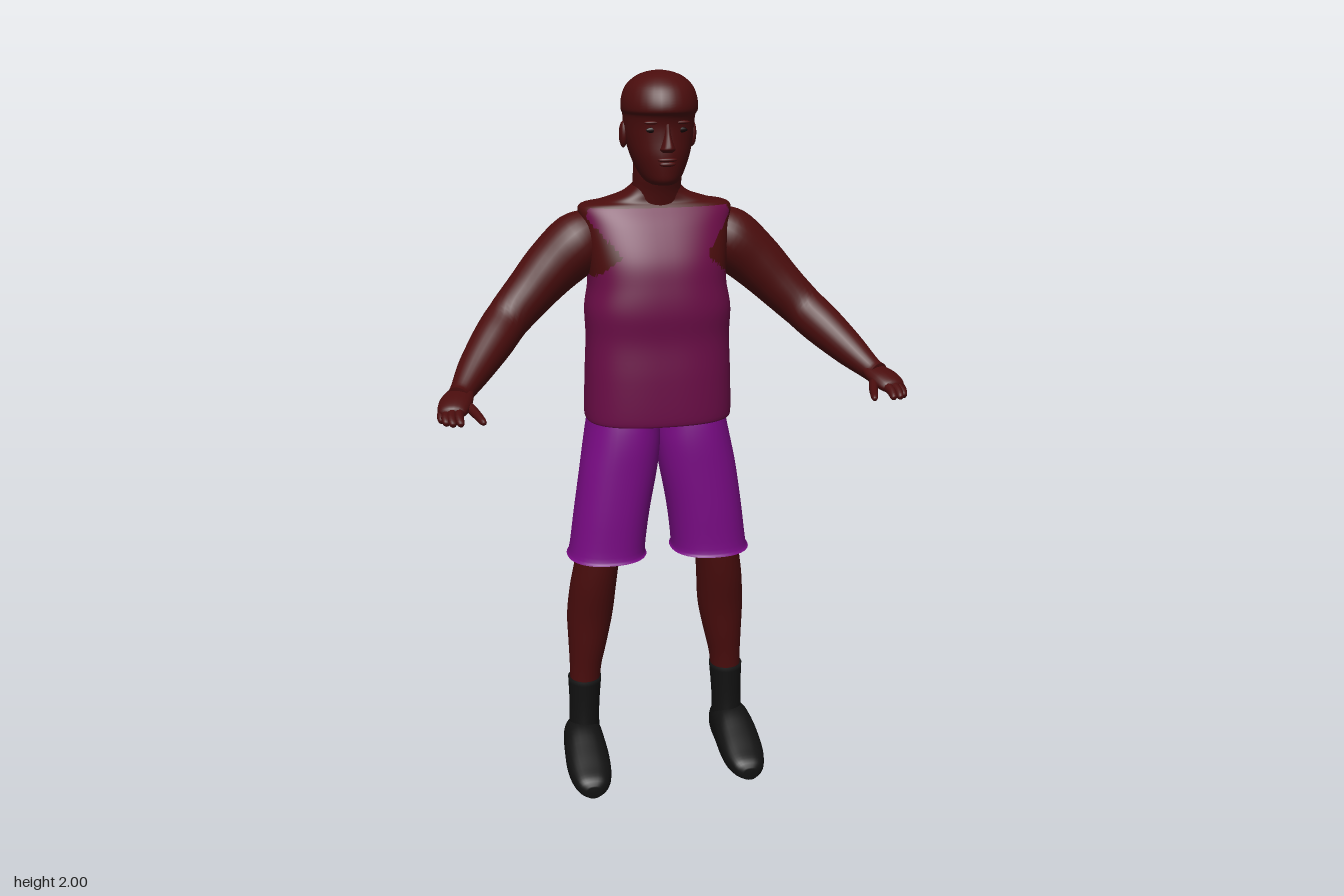
import * as THREE from 'three';

const V = (x, y, z) => new THREE.Vector3(x, y, z);
const mat = (name, color, side = THREE.FrontSide) => {
  const m = new THREE.MeshStandardMaterial({ color, side });
  m.name = name;
  return m;
};

// Resample rows of section numbers along a smooth curve
function smooth(rows, steps) {
  const out = [];
  const at = (i) => rows[Math.max(0, Math.min(rows.length - 1, i))];
  for (let i = 0; i < rows.length - 1; i++) {
    for (let s = 0; s < steps; s++) {
      const t = s / steps;
      out.push(rows[i].map((b, k) => {
        const a = at(i - 1)[k], c = at(i + 1)[k], d = at(i + 2)[k];
        return b + 0.5 * t * (c - a + t * (2 * a - 5 * b + 4 * c - d + t * (3 * (b - c) + d - a)));
      }));
    }
  }
  out.push(rows[rows.length - 1]);
  return out;
}

// Skin a list of equal rings; optional caps close the ends
function loft(rings, capStart = true, capEnd = true) {
  const n = rings[0].length, pts = rings.flat(), index = [];
  for (let i = 0; i < rings.length - 1; i++) {
    for (let j = 0; j < n; j++) {
      const k = (j + 1) % n, a = i * n + j, b = i * n + k;
      index.push(a, b, b + n, a, b + n, a + n);
    }
  }
  const cap = (ring, start, flip) => {
    const c = ring.reduce((s, p) => s.add(p), V(0, 0, 0)).divideScalar(n);
    pts.push(c);
    for (let j = 0; j < n; j++) {
      const a = start + j, b = start + (j + 1) % n;
      index.push(pts.length - 1, flip ? b : a, flip ? a : b);
    }
  };
  if (capStart) cap(rings[0], 0, true);
  if (capEnd) cap(rings[rings.length - 1], (rings.length - 1) * n, false);
  const g = new THREE.BufferGeometry().setFromPoints(pts);
  g.setIndex(index);
  g.computeVertexNormals();
  return g;
}

const pow = (v, e) => Math.sign(v) * Math.abs(v) ** e;
const around = (n, f) => Array.from({ length: n }, (_, j) => f(j / n * Math.PI * 2, j));

// Horizontal sections: [y, centreX, halfWidth, frontZ, backZ]
function upright(rows, { n = 32, e = 1, steps = 4, start = true, end = true, bend = (p) => p } = {}) {
  return loft(smooth(rows, steps).map(([y, cx, rx, f, b]) => around(n, (t, j) =>
    bend(V(cx + rx * pow(Math.sin(t), e), y, (f + b) / 2 + (f - b) / 2 * pow(Math.cos(t), e)), j))), start, end);
}

// Round sections along a path: [x, y, z, radius]; squash scales the second axis
function limb(rows, n = 20, squash = 1, steps = 5) {
  const s = smooth(rows, steps);
  return loft(s.map(([x, y, z, r], i) => {
    const p = s[Math.max(0, i - 1)], q = s[Math.min(s.length - 1, i + 1)];
    const dir = V(q[0] - p[0], q[1] - p[1], q[2] - p[2]).normalize();
    const u = dir.clone().cross(V(0, 1, 0)).normalize(), v = dir.clone().cross(u);
    return around(n, (t) => V(x, y, z).addScaledVector(u, r * Math.cos(t)).addScaledVector(v, r * squash * Math.sin(t)));
  }));
}

function mirrored(geo) {
  const g = geo.clone().scale(-1, 1, 1), ix = g.index.array;
  for (let i = 0; i < ix.length; i += 3) [ix[i + 1], ix[i + 2]] = [ix[i + 2], ix[i + 1]];
  g.computeVertexNormals();
  return g;
}

export function createModel() {
  const model = new THREE.Group();
  model.name = 'figure';
  const skin = mat('skin', 0x4a0d0d);
  const shirt = mat('shirt', 0x6b0d47, THREE.DoubleSide);
  const shorts = mat('shorts', 0x7a0b85, THREE.DoubleSide);
  const shoe = mat('footwear', 0x111111);
  const dark = mat('eyes', 0x140404);
  const add = (name, geo, m) => {
    const mesh = new THREE.Mesh(geo, m);
    mesh.name = name;
    model.add(mesh);
  };
  const pair = (name, geo, m) => {
    add(name + 'Left', geo, m);
    add(name + 'Right', mirrored(geo), m);
  };
  const ball = (x, y, z, a, b, c) => new THREE.SphereGeometry(1, 20, 14).scale(a, b, c).translate(x, y, z);

  // Torso, with a centre groove down the back
  const torso = upright([
    [1.072, 0, 0.196, 0.036, -0.232], [1.085, 0, 0.203, 0.045, -0.24], [1.2, 0, 0.2, 0.045, -0.236],
    [1.3, 0, 0.196, 0.04, -0.23], [1.38, 0, 0.198, 0.046, -0.237], [1.45, 0, 0.187, 0.04, -0.243],
    [1.52, 0, 0.19, 0.026, -0.245], [1.6, 0, 0.2, -0.01, -0.237], [1.65, 0, 0.205, -0.042, -0.218],
    [1.665, 0, 0.15, -0.052, -0.2], [1.685, 0, 0.09, -0.052, -0.185], [1.71, 0, 0.06, -0.05, -0.165],
  ], { n: 96, e: 0.78, steps: 6, start: false, bend: (p, j) => {
    if (j === 48 && p.y < 1.66) p.z += 0.018;
    return p;
  } });

  // Sleeveless cut: faces outside the neckline and armholes are cloth
  const hole = (y) => y < 1.47 ? 1 : y < 1.53 ? 0.185 - (y - 1.47) * 1.2 : y < 1.6 ? 0.113 + (y - 1.53) * 0.85 : 0.173 + (y - 1.6) * 0.8;
  const cloth = [], bare = [], ix = torso.index.array, pos = torso.attributes.position;
  for (let i = 0; i < ix.length; i += 3) {
    const f = [ix[i], ix[i + 1], ix[i + 2]];
    const mid = (get) => f.reduce((s, k) => s + pos[get](k), 0) / 3;
    const x = Math.abs(mid('getX')), y = mid('getY'), z = mid('getZ');
    const inHole = x > hole(y) || (y > 1.47 && x > 0.16 && Math.abs(z + 0.13) < 0.05);
    (y < 1.651 && !inHole ? cloth : bare).push(...f);
  }
  torso.setIndex([...cloth, ...bare]);
  torso.addGroup(0, cloth.length, 0);
  torso.addGroup(cloth.length, bare.length, 1);
  add('torsoAndVest', torso, [shirt, skin]);

  // Neck and head, with a ledge at the fringe
  add('neck', upright([
    [1.64, 0, 0.08, -0.05, -0.19], [1.69, 0, 0.067, -0.038, -0.17], [1.74, 0, 0.064, -0.02, -0.165], [1.8, 0, 0.065, -0.02, -0.165],
  ]), skin);
  add('head', upright([
    [1.715, 0, 0.03, 0.012, -0.08], [1.725, 0, 0.046, 0.028, -0.11], [1.75, 0, 0.062, 0.034, -0.145],
    [1.79, 0, 0.078, 0.038, -0.168], [1.83, 0, 0.088, 0.036, -0.183], [1.865, 0, 0.092, 0.037, -0.188],
    [1.89, 0, 0.094, 0.045, -0.19], [1.903, 0, 0.099, 0.057, -0.191], [1.93, 0, 0.098, 0.053, -0.189],
    [1.96, 0, 0.087, 0.036, -0.173], [1.983, 0, 0.063, 0.006, -0.142], [1.995, 0, 0.035, -0.025, -0.11], [2, 0, 0.006, -0.06, -0.075],
  ]), skin);
  add('nose', upright([
    [1.8, 0, 0.014, 0.044, 0.01], [1.808, 0, 0.02, 0.06, 0.01], [1.818, 0, 0.016, 0.06, 0.01],
    [1.845, 0, 0.009, 0.046, 0.01], [1.875, 0, 0.008, 0.038, 0.01],
  ], { n: 16 }), skin);
  add('upperLip', ball(0, 1.782, 0.033, 0.026, 0.006, 0.01), skin);
  add('lowerLip', ball(0, 1.771, 0.032, 0.022, 0.007, 0.01), skin);
  pair('ear', ball(0.092, 1.838, -0.085, 0.011, 0.034, 0.02), skin);
  pair('eye', ball(0.037, 1.856, 0.024, 0.017, 0.007, 0.004), dark);
  pair('brow', ball(0.037, 1.875, 0.026, 0.023, 0.005, 0.009), skin);

  // Arms, reaching out and forward
  pair('arm', limb([
    [0.15, 1.585, -0.135, 0.06], [0.205, 1.553, -0.135, 0.083], [0.28, 1.49, -0.13, 0.077], [0.35, 1.42, -0.115, 0.067],
    [0.41, 1.36, -0.09, 0.06], [0.455, 1.315, -0.04, 0.057], [0.51, 1.26, 0.03, 0.046], [0.55, 1.22, 0.095, 0.032], [0.563, 1.21, 0.12, 0.031],
  ], 24), skin);
  pair('palm', limb([
    [0.548, 1.222, 0.09, 0.03], [0.562, 1.21, 0.12, 0.04], [0.575, 1.2, 0.155, 0.042], [0.583, 1.19, 0.185, 0.034], [0.585, 1.187, 0.195, 0.012],
  ], 18, 0.55), skin);
  // Fingers and thumb
  const digits = [
    ['thumb', [0.55, 1.202, 0.13], [0.527, 1.188, 0.185], [0.512, 1.178, 0.236]],
    ['indexFinger', [0.563, 1.195, 0.17], [0.568, 1.185, 0.21], [0.566, 1.175, 0.235]],
    ['middleFinger', [0.58, 1.195, 0.17], [0.586, 1.185, 0.21], [0.585, 1.175, 0.234]],
    ['ringFinger', [0.592, 1.193, 0.16], [0.6, 1.183, 0.2], [0.6, 1.174, 0.22]],
    ['littleFinger', [0.6, 1.193, 0.145], [0.609, 1.183, 0.175], [0.61, 1.174, 0.195]],
  ];
  for (const [name, a, b, c] of digits) {
    const tip = c.map((v, i) => v + (v - b[i]) * 0.2);
    pair(name, limb([[...a, 0.014], [...b, 0.012], [...c, 0.009], [...tip, 0.003]], 10, 1, 3), skin);
  }

  // Shorts, open at the hems
  pair('shortsLeg', upright([
    [0.67, 0.15, 0.113, 0.02, -0.206], [0.69, 0.148, 0.107, 0.012, -0.2], [0.8, 0.134, 0.106, 0.014, -0.198],
    [0.92, 0.114, 0.108, 0.015, -0.202], [1.0, 0.101, 0.106, 0.015, -0.228], [1.06, 0.095, 0.1, 0.01, -0.24], [1.11, 0.09, 0.095, 0, -0.22],
  ], { n: 40, e: 0.88, start: false }), shorts);

  // Legs, socks and shoes
  pair('leg', upright([
    [0.22, 0.216, 0.043, -0.083, -0.17], [0.3, 0.212, 0.046, -0.077, -0.176], [0.38, 0.204, 0.056, -0.066, -0.19],
    [0.47, 0.196, 0.066, -0.055, -0.2], [0.57, 0.187, 0.066, -0.036, -0.186], [0.66, 0.175, 0.064, -0.026, -0.17],
    [0.8, 0.155, 0.074, -0.02, -0.18], [0.95, 0.12, 0.08, -0.03, -0.185],
  ]), skin);
  pair('sock', upright([
    [0.07, 0.22, 0.046, -0.065, -0.175], [0.14, 0.219, 0.044, -0.073, -0.172], [0.2, 0.217, 0.045, -0.075, -0.174], [0.268, 0.215, 0.049, -0.074, -0.179],
  ]), shoe);
  const shoeRows = [
    [-0.19, 0.222, 0.022, 0.06], [-0.18, 0.223, 0.042, 0.105], [-0.13, 0.226, 0.055, 0.135], [-0.07, 0.228, 0.06, 0.132],
    [0, 0.229, 0.063, 0.102], [0.06, 0.229, 0.058, 0.074], [0.1, 0.23, 0.043, 0.055], [0.115, 0.231, 0.02, 0.035],
  ];
  pair('shoe', loft(smooth(shoeRows, 4).map(([z, cx, rx, h]) => around(28, (t) =>
    V(cx + rx * pow(Math.cos(t), 0.8), h / 2 + h / 2 * pow(Math.sin(t), 0.8), z)))), shoe);
  return model;
}
